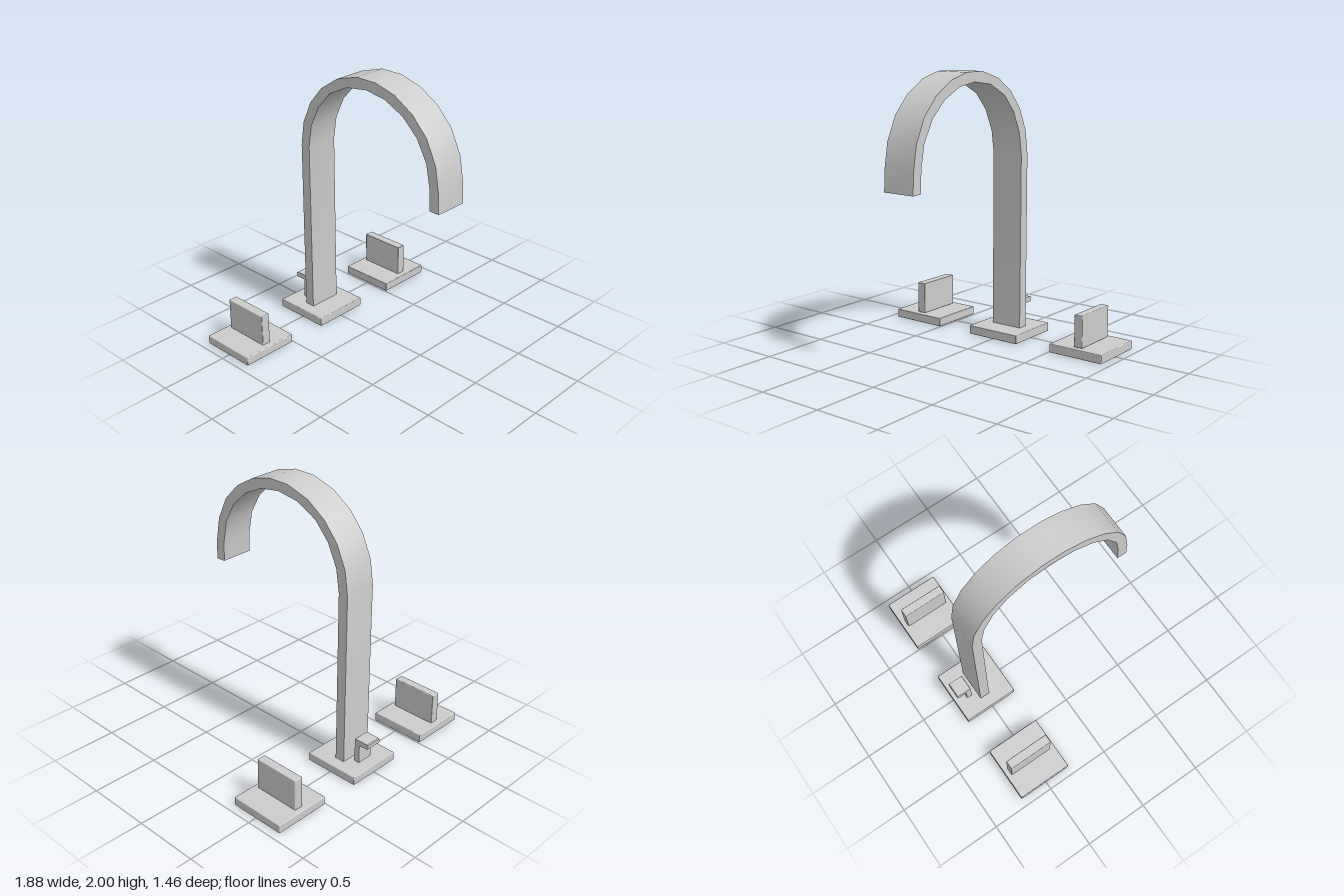
import * as THREE from 'three';
import { toCreasedNormals } from 'three/addons/utils/BufferGeometryUtils.js';
import { RoundedBoxGeometry } from 'three/addons/geometries/RoundedBoxGeometry.js';

const material = new THREE.MeshStandardMaterial({ color: 0xcccccc });
const PLATE_TOP = 0.065;

function addMesh(parent, name, geometry, x = 0, y = 0, z = 0) {
  const mesh = new THREE.Mesh(geometry, material);
  mesh.name = name;
  mesh.position.set(x, y, z);
  parent.add(mesh);
}

// Side profile given as [z, y] points, extruded across x and centred
function extrudeProfile(points, width) {
  const shape = new THREE.Shape(points.map(([z, y]) => new THREE.Vector2(z, y)));
  const geometry = new THREE.ExtrudeGeometry(shape, { depth: width, bevelEnabled: false });
  geometry.translate(0, 0, -width / 2).rotateY(-Math.PI / 2);
  return toCreasedNormals(geometry, 0.7);
}

function addPlate(parent, name, x) {
  addMesh(parent, name, new RoundedBoxGeometry(0.43, PLATE_TOP, 0.43, 2, 0.006), x, PLATE_TOP / 2, -0.511);
}

export function createModel() {
  const model = new THREE.Group();
  model.name = 'widespreadFaucet';

  // Spout: flat ribbon rising straight, then arching forward
  const outer = [
    [-0.548, 0.06], [-0.548, 1.37], [-0.522, 1.55], [-0.447, 1.715], [-0.335, 1.845],
    [-0.185, 1.945], [0, 2], [0.17, 2], [0.337, 1.955], [0.49, 1.863],
    [0.612, 1.735], [0.693, 1.565], [0.723, 1.39], [0.73, 1.235],
  ];
  const inner = [
    [-0.471, 0.06], [-0.471, 1.37], [-0.444, 1.54], [-0.368, 1.7], [-0.257, 1.822],
    [-0.095, 1.905], [0.085, 1.93], [0.25, 1.905], [0.405, 1.83], [0.53, 1.715],
    [0.616, 1.56], [0.646, 1.4], [0.654, 1.238],
  ];
  const spout = new THREE.Group();
  spout.name = 'spoutAssembly';
  addPlate(spout, 'spoutPlate', 0);
  addMesh(spout, 'spout', extrudeProfile([...outer, ...inner.reverse()], 0.25));

  // Drain lift lever: upright blade with a tab folded backward
  const lever = [
    [-0.59, 0.06], [-0.59, 0.246], [-0.594, 0.25], [-0.704, 0.25], [-0.71, 0.244],
    [-0.71, 0.216], [-0.704, 0.21], [-0.632, 0.21], [-0.632, 0.06],
  ];
  addMesh(spout, 'drainLever', extrudeProfile(lever, 0.122), -0.002);
  model.add(spout);

  // Mirrored handles: square plate with an upright blade
  for (const [name, side] of [['leftHandle', 1], ['rightHandle', -1]]) {
    const handle = new THREE.Group();
    handle.name = name;
    addPlate(handle, name + 'Plate', side * 0.723);
    addMesh(handle, name + 'Blade', new RoundedBoxGeometry(0.068, 0.239, 0.355, 2, 0.006), side * 0.723, 0.1855, -0.512);
    model.add(handle);
  }

  return model;
}
